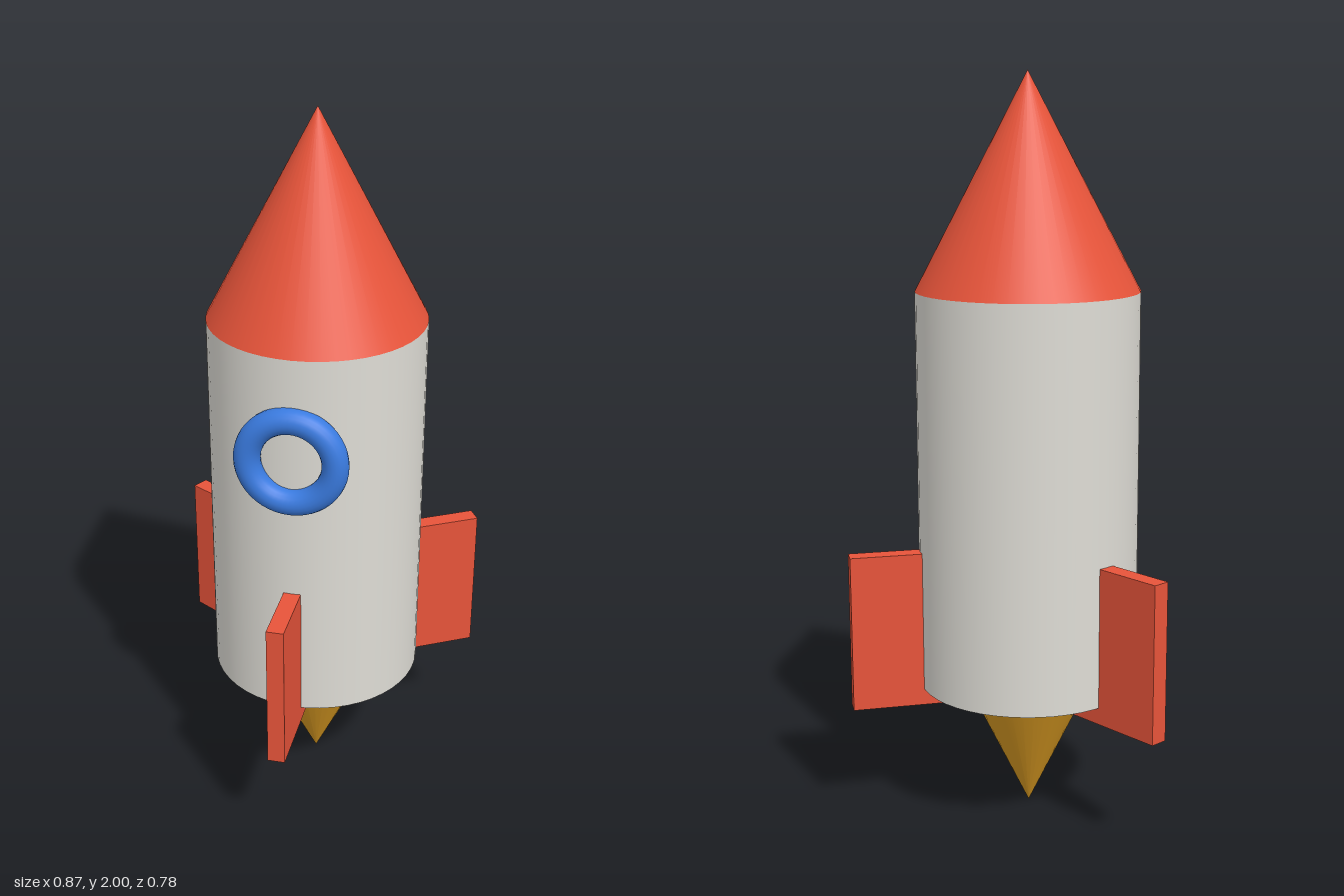
import * as THREE from 'three';

export function createModel() {
  const mat = (name, color) => {
    const m = new THREE.MeshStandardMaterial({ color });
    m.name = name;
    return m;
  };
  const red = mat('red', 0xe8543a);
  const white = mat('offWhite', 0xdedcd5);
  const blue = mat('blue', 0x3a7be0);
  const gold = mat('gold', 0xd99a22);

  const group = new THREE.Group();
  group.name = 'rocket';

  const RADIUS = 0.297, BASE = 0.365, SHOULDER = 1.437, AXIS_Z = -0.095;
  const add = (name, geometry, material, x, y, z) => {
    const mesh = new THREE.Mesh(geometry, material);
    mesh.name = name;
    mesh.position.set(x, y, z + AXIS_Z);
    group.add(mesh);
    return mesh;
  };

  // Hull and nose
  add('body', new THREE.CylinderGeometry(RADIUS, RADIUS, SHOULDER - BASE, 48), white,
    0, (BASE + SHOULDER) / 2, 0);
  add('noseCone', new THREE.ConeGeometry(RADIUS, 2 - SHOULDER, 48), red,
    0, (2 + SHOULDER) / 2, 0);

  // Exhaust flame, point down
  const flame = new THREE.ConeGeometry(0.177, BASE, 32).rotateX(Math.PI);
  add('flame', flame, gold, 0, BASE / 2, 0);

  // Porthole ring, half sunk in the hull
  add('windowRing', new THREE.TorusGeometry(0.118, 0.036, 20, 48), blue, 0, 1.152, RADIUS + 0.002);

  // Three fins around the axis, the first facing front
  const finGeometry = new THREE.BoxGeometry(0.048, 0.425, 0.297);
  const finDistance = 0.339;
  for (let i = 0; i < 3; i++) {
    const a = (i * Math.PI * 2) / 3;
    const fin = add('fin' + (i + 1), finGeometry, red,
      Math.sin(a) * finDistance, 0.532, Math.cos(a) * finDistance);
    fin.rotation.y = a;
  }

  return group;
}
